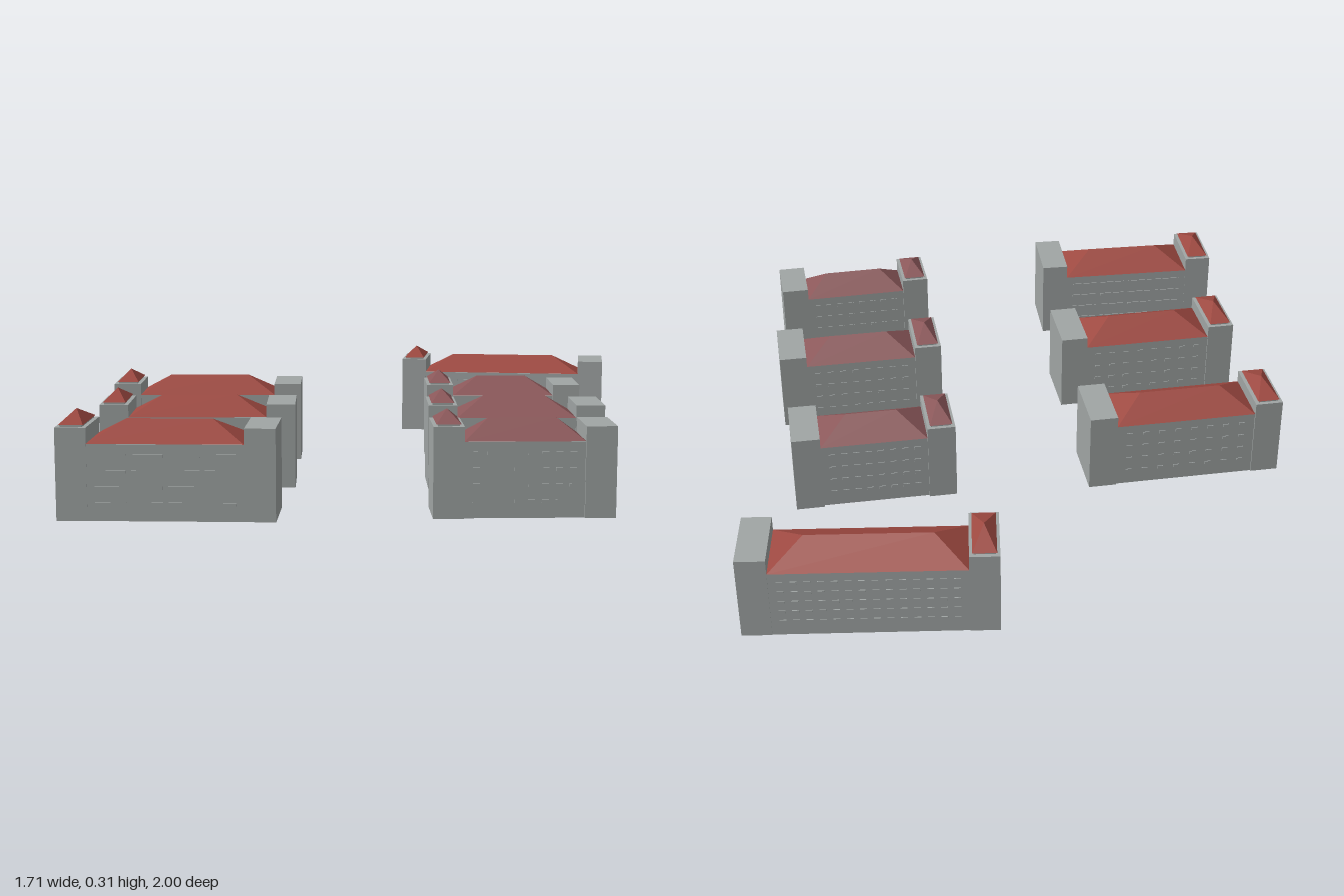
import * as THREE from 'three';

const make = (name, color, side) => {
  const m = new THREE.MeshStandardMaterial({ color, side });
  m.name = name;
  return m;
};

// Box standing on y = 0 with its underside left open
function shell(w, h, d) {
  const g = new THREE.BoxGeometry(w, h, d).translate(0, h / 2, 0);
  const index = Array.from(g.index.array);
  index.splice(18, 6);
  g.setIndex(index);
  g.clearGroups();
  return g;
}

// Hipped roof; a ridge of zero gives a pyramid
function hipRoof(w, d, h, ridge) {
  const x = w / 2, z = d / 2, r = ridge / 2;
  const a = [-x, 0, z], b = [x, 0, z], c = [x, 0, -z], e = [-x, 0, -z];
  const l = [-r, h, 0], m = [r, h, 0];
  const tris = [a, b, m, b, c, m, c, e, l, e, a, l, a, e, c, a, c, b];
  if (ridge > 0) tris.push(a, m, l, c, l, m);
  const g = new THREE.BufferGeometry();
  g.setAttribute('position', new THREE.Float32BufferAttribute(tris.flat(), 3));
  g.computeVertexNormals();
  return g;
}

export function createModel() {
  const wall = make('grey wall', 0xa0a5a4, THREE.DoubleSide);
  const red = make('red roof', 0x9c4840, THREE.FrontSide);
  const mauve = make('mauve roof', 0x8a5759, THREE.FrontSide);
  const END = 0.09, EAVE = 0.223;

  function building(o) {
    const g = new THREE.Group();
    g.name = o.name;
    const add = (name, geo, mat, x, y, z) => {
      const mesh = new THREE.Mesh(geo, mat);
      mesh.name = name;
      mesh.position.set(x, y, z);
      g.add(mesh);
    };
    const mainLen = o.len - 2 * END, mainW = o.wid - 2 * o.inset;
    const endX = (o.len - END) / 2;

    // Long block and its hipped roof
    add('mainBlock', shell(mainLen, EAVE, mainW), wall, 0, 0, 0);
    add('mainRoof', hipRoof(mainLen, mainW + 0.004, 0.058, mainLen - mainW * 0.95),
      o.roof, 0, EAVE + 0.001, 0);

    // Taller end blocks, the -x one carrying a small pyramid roof
    for (const s of [-1, 1]) {
      add(s < 0 ? 'roofedEndBlock' : 'flatEndBlock', shell(END, o.top, o.wid), wall, s * endX, 0, 0);
    }
    add('endRoofCurb', new THREE.BoxGeometry(END - 0.026, 0.006, o.wid - 0.026), wall, -endX, o.top + 0.003, 0);
    add('endRoof', hipRoof(END - 0.018, o.wid - 0.018, 0.035, 0), o.roof, -endX, o.top + 0.006, 0);

    // Rows of raised windows on both long sides
    const pitch = (mainLen - 0.03) / o.cols;
    const win = new THREE.BoxGeometry(o.winW, 0.01, 0.004);
    for (const s of [-1, 1]) {
      for (let r = 0; r < o.rows; r++) {
        const y = 0.05 + r * 0.14 / (o.rows - 1);
        for (let c = 0; c < o.cols; c++) {
          add('window', win, wall, (c - (o.cols - 1) / 2) * pitch, y, s * (mainW / 2 + 0.001));
        }
      }
    }
    g.position.set(o.x, 0, o.z);
    g.rotation.y = o.turn;
    return g;
  }

  const base = { roof: red, rows: 4, cols: 8, winW: 0.02, inset: 0.005 };
  const list = [
    { name: 'longBuilding', x: 0.471, z: -0.889, len: 0.757, wid: 0.212, turn: -0.012, top: 0.271, rows: 5, cols: 14, inset: 0.002 },
    { name: 'leftRowBack', x: -0.527, z: -0.151, len: 0.64, wid: 0.212, turn: 0.124, top: 0.262 },
    { name: 'leftRowMiddle', x: -0.455, z: 0.356, len: 0.613, wid: 0.217, turn: 0.13, top: 0.264 },
    { name: 'leftRowFront', x: -0.436, z: 0.864, len: 0.631, wid: 0.213, turn: 0.084, top: 0.27, cols: 4, winW: 0.09, inset: 0.001 },
    { name: 'rightRowBack', x: 0.483, z: -0.243, len: 0.522, wid: 0.203, turn: 0.122, top: 0.262, roof: mauve, inset: 0.008 },
    { name: 'rightRowMiddle', x: 0.541, z: 0.258, len: 0.552, wid: 0.203, turn: 0.125, top: 0.264, roof: mauve, inset: 0.008 },
    { name: 'rightRowFront', x: 0.576, z: 0.72, len: 0.529, wid: 0.176, turn: 0.148, top: 0.268, roof: mauve, inset: 0.008 },
  ];

  const model = new THREE.Group();
  model.name = 'buildingBlocks';
  for (const o of list) model.add(building({ ...base, ...o }));
  return model;
}
